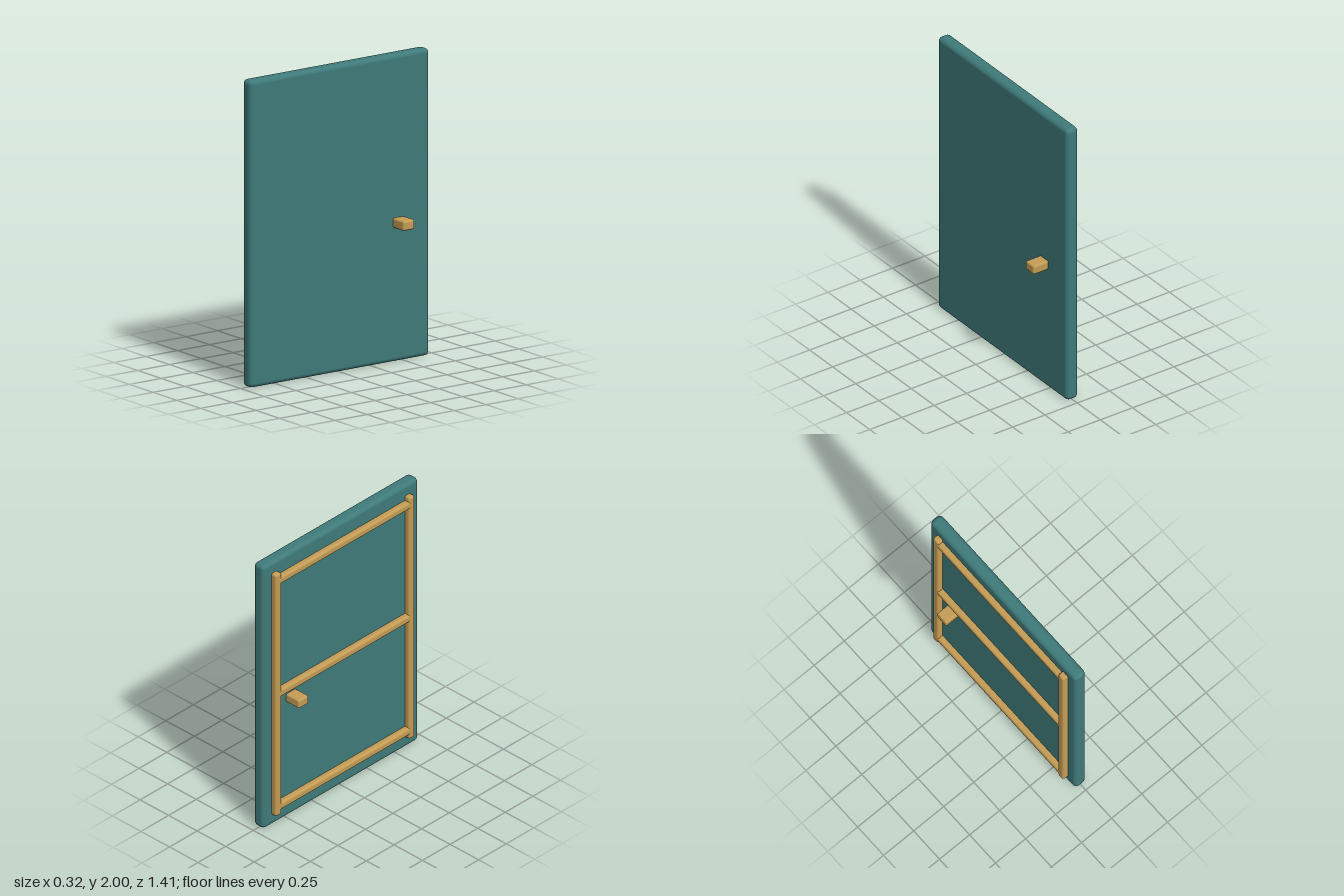
import * as THREE from 'three';
import { RoundedBoxGeometry } from 'three/addons/geometries/RoundedBoxGeometry.js';

export function createModel() {
  const model = new THREE.Group();
  model.name = 'door';
  const teal = new THREE.MeshStandardMaterial({ name: 'teal paint', color: 0x3f7a7a });
  const brass = new THREE.MeshStandardMaterial({ name: 'brass', color: 0xc49c55 });

  const block = (name, material, size, position, radius) => {
    const mesh = new THREE.Mesh(new RoundedBoxGeometry(...size, 3, radius), material);
    mesh.name = name;
    mesh.position.set(...position);
    model.add(mesh);
  };

  // Door slab
  block('doorPanel', teal, [0.09, 2, 1.41], [0, 1, 0], 0.03);

  // Raised trim on one face: two stiles and three rails
  const bar = 0.053, trimX = -0.058;
  for (const s of [-1, 1]) {
    block(s < 0 ? 'backStile' : 'frontStile', brass, [bar, 1.84, bar], [trimX, 1, s * 0.604], 0.016);
  }
  ['bottomRail', 'middleRail', 'topRail'].forEach((name, i) =>
    block(name, brass, [bar, bar, 1.21], [trimX, 0.14 + i * 0.86, 0], 0.016));

  // A handle on each face
  for (const s of [-1, 1]) {
    block(s < 0 ? 'rightHandle' : 'leftHandle', brass, [0.12, 0.064, 0.09], [s * 0.1, 0.908, -0.456], 0.013);
  }
  return model;
}
